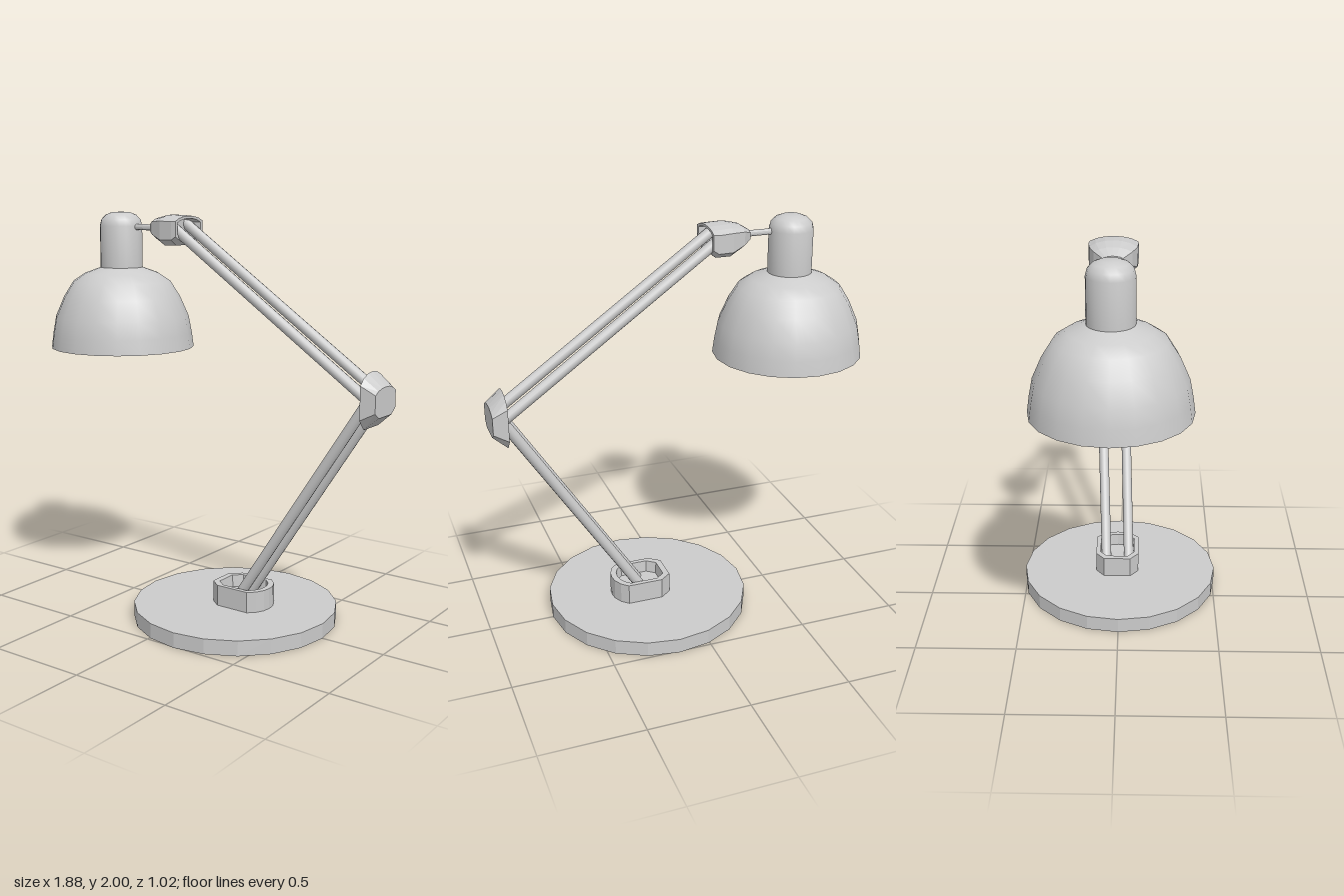
import * as THREE from 'three';
import { toCreasedNormals } from 'three/addons/utils/BufferGeometryUtils.js';

const smooth = new THREE.MeshStandardMaterial({ color: 0xcccccc, side: THREE.DoubleSide });
const faceted = new THREE.MeshStandardMaterial({ color: 0xcccccc, flatShading: true, side: THREE.DoubleSide });

// Joint outline (u = length, v = width): chamfered flat end, straight sides, arched end
const half = [[0.97, 0.35], [0.83, 0.72], [0.6, 1], [-0.62, 1], [-1, 0.62]];
const outline = [[1, 0], ...half, ...half.map(([u, v]) => [u, -v]).reverse()];

// Loft the outline through sections [t, centreU, halfU, centreV, halfV]
function loft(sections, place, flip) {
  const n = outline.length, pos = [], index = [];
  for (const [t, cu, hu, cv, hv] of sections)
    for (const [u, v] of outline) pos.push(...place(t, cu + u * hu, cv + v * hv));
  for (let s = 0; s < sections.length - 1; s++)
    for (let i = 0; i < n; i++) {
      const a = s * n + i, b = s * n + (i + 1) % n;
      const quad = [a, b, b + n, a, b + n, a + n];
      index.push(...(flip ? quad.reverse() : quad));
    }
  const g = new THREE.BufferGeometry();
  g.setAttribute('position', new THREE.Float32BufferAttribute(pos, 3));
  g.setIndex(index);
  g.computeVertexNormals();
  return g;
}

export function createModel() {
  const lamp = new THREE.Group();
  lamp.name = 'deskLamp';

  function add(name, geometry, material, x = 0, y = 0, z = 0) {
    const mesh = new THREE.Mesh(geometry, material);
    mesh.name = name;
    mesh.position.set(x, y, z);
    lamp.add(mesh);
    return mesh;
  }

  function rod(name, from, to, radius) {
    const a = new THREE.Vector3(...from), b = new THREE.Vector3(...to);
    const dir = b.clone().sub(a);
    const g = toCreasedNormals(new THREE.CylinderGeometry(radius, radius, dir.length(), 12), 0.7);
    const mesh = add(name, g, smooth);
    mesh.position.copy(a).add(b).multiplyScalar(0.5);
    mesh.quaternion.setFromUnitVectors(new THREE.Vector3(0, 1, 0), dir.normalize());
  }

  // Heavy round foot
  add('base', new THREE.CylinderGeometry(0.51, 0.51, 0.075, 20), faceted, 0.165, 0.0375, 0);

  // Hollow socket on the foot
  add('baseSocket', loft([
    [0.07, 0.215, 0, -0.013, 0],
    [0.07, 0.215, 0.145, -0.013, 0.113],
    [0.18, 0.215, 0.145, -0.013, 0.113],
    [0.18, 0.215, 0.115, -0.013, 0.09],
    [0.12, 0.215, 0.11, -0.013, 0.085],
    [0.12, 0.215, 0, -0.013, 0],
  ], (t, u, v) => [u, t, v], true), faceted);

  // Paired arm rods
  rod('lowerArmLeft', [0.2, 0.1, 0.048], [0.9, 1.2, 0.008], 0.026);
  rod('lowerArmRight', [0.2, 0.1, -0.073], [0.9, 1.2, -0.122], 0.026);
  rod('upperArmFront', [-0.21, 1.95, 0.042], [0.9, 1.18, 0.013], 0.026);
  rod('upperArmBack', [-0.21, 1.95, -0.088], [0.9, 1.18, -0.127], 0.026);

  // Tapered elbow cup, open towards the arms
  add('elbowJoint', loft([
    [0.94, 1.178, 0, -0.058, 0],
    [0.94, 1.178, 0.068, -0.058, 0.098],
    [0.87, 1.18, 0.13, -0.058, 0.113],
    [0.87, 1.18, 0.108, -0.058, 0.092],
    [0.915, 1.18, 0.075, -0.058, 0.085],
    [0.915, 1.18, 0, -0.058, 0],
  ], (t, u, v) => [t, u, v], true), faceted);

  // Rounded head joint, open towards the upper arm
  add('headJoint', loft([
    [-0.345, 1.925, 0, -0.022, 0],
    [-0.345, 1.925, 0.025, -0.022, 0.045],
    [-0.3, 1.926, 0.051, -0.022, 0.085],
    [-0.235, 1.917, 0.074, -0.022, 0.108],
    [-0.16, 1.916, 0.072, -0.022, 0.113],
    [-0.135, 1.925, 0.06, -0.022, 0.11],
    [-0.135, 1.925, 0.048, -0.022, 0.092],
    [-0.2, 1.925, 0.045, -0.022, 0.085],
    [-0.2, 1.925, 0, -0.022, 0],
  ], (t, u, v) => [t, u, v], false), faceted);

  // Thin stem to the lamp head
  rod('headStem', [-0.52, 1.925, -0.022], [-0.33, 1.925, -0.022], 0.015);

  // Shade, neck and domed cap in one turned profile, with the inner wall and reflector
  const profile = [
    [0, 1.51], [0.18, 1.5], [0.33, 1.47], [0.365, 1.31],
    [0.37, 1.31], [0.36, 1.385], [0.344, 1.47], [0.3, 1.57], [0.25, 1.65], [0.19, 1.69],
    [0.108, 1.72], [0.108, 1.93], [0.1, 1.962], [0.078, 1.985], [0.045, 1.998], [0, 2],
  ].map(([r, y]) => new THREE.Vector2(r, y));
  add('lampShade', toCreasedNormals(new THREE.LatheGeometry(profile, 20), 0.6), smooth, -0.573, 0, -0.025);

  return lamp;
}
